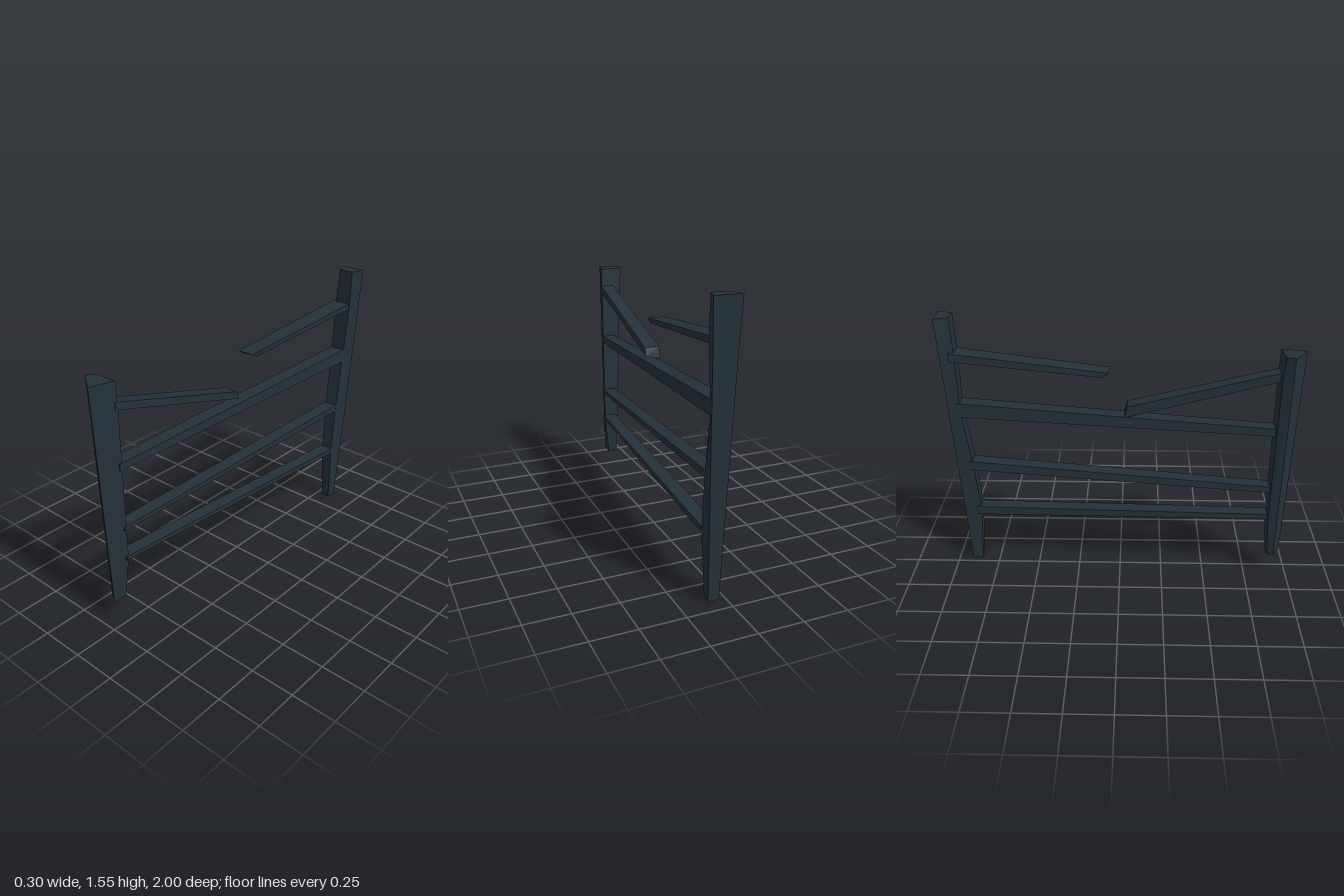
import * as THREE from 'three';

// Skin a solid through rings of four corners, with flat faces and end caps.
function loft(name, rings, material) {
  const pos = [];
  const quad = (a, b, c, d) => [a, b, c, a, c, d].forEach((p) => pos.push(...p));
  for (let r = 0; r < rings.length - 1; r++) {
    for (let i = 0; i < 4; i++) {
      const j = (i + 1) % 4;
      quad(rings[r][i], rings[r][j], rings[r + 1][j], rings[r + 1][i]);
    }
  }
  const s = rings[0], e = rings[rings.length - 1];
  quad(s[3], s[2], s[1], s[0]);
  quad(e[0], e[1], e[2], e[3]);
  const geo = new THREE.BufferGeometry();
  geo.setAttribute('position', new THREE.Float32BufferAttribute(pos, 3));
  geo.computeVertexNormals();
  const mesh = new THREE.Mesh(geo, material);
  mesh.name = name;
  return mesh;
}

// Post ring: height, then x,z corners front-left, front-right, back-right, back-left.
const ring = (y, ...c) => [0, 2, 4, 6].map((i) => [c[i], y, c[i + 1]]);

// Rail end: x range, bottom and top heights, z of bottom and top edges.
// The underside rises by tilt toward +x.
const end = (x0, x1, lo, hi, zLo, zHi = zLo, tilt = 0.015) => [
  [x1, lo + tilt, zLo], [x0, lo, zLo], [x0, hi, zHi], [x1, hi, zHi],
];

export function createModel() {
  const group = new THREE.Group();
  group.name = 'brokenFence';
  const wood = new THREE.MeshStandardMaterial({ color: 0x24313a, flatShading: true });
  wood.name = 'dark slate wood';

  // Posts, tapering to the foot
  group.add(loft('frontPost', [
    ring(0.14, -0.10, 0.915, -0.035, 0.955, -0.033, 0.875, -0.09, 0.88),
    ring(0.39, -0.11, 0.916, -0.035, 0.965, -0.005, 0.86, -0.098, 0.865),
    ring(1.27, -0.145, 0.919, -0.036, 0.995, 0, 0.86, -0.125, 0.865),
    ring(1.405, -0.152, 0.92, -0.036, 1.0, 0, 0.865, -0.137, 0.873),
  ], wood));
  group.add(loft('backPost', [
    ring(0, 0.038, -0.855, 0.088, -0.855, 0.095, -0.915, 0.035, -0.915),
    ring(0.35, 0.03, -0.836, 0.10, -0.836, 0.106, -0.934, 0.027, -0.934),
    ring(0.68, 0.022, -0.86, 0.10, -0.86, 0.117, -0.952, 0.02, -0.952),
    ring(1.0, 0.015, -0.903, 0.10, -0.903, 0.127, -0.97, 0.013, -0.97),
    ring(1.35, 0.02, -0.91, 0.12, -0.91, 0.138, -0.988, 0.005, -0.988),
    ring(1.555, 0.03, -0.922, 0.12, -0.918, 0.146, -0.998, -0.003, -1.0),
  ], wood));

  // Whole rails
  group.add(loft('lowerRail', [
    end(-0.08, 0, 0.378, 0.41, 0.875, 0.875, 0.008),
    end(0.02, 0.102, 0.328, 0.38, -0.86, -0.86, 0.02),
  ], wood));
  group.add(loft('middleRail', [
    end(-0.08, 0, 0.555, 0.593, 0.875),
    end(0.015, 0.10, 0.635, 0.69, -0.885),
  ], wood));
  group.add(loft('upperRail', [
    end(-0.08, 0, 0.917, 0.963, 0.875, 0.875, 0.006),
    end(0.012, 0.105, 0.975, 1.06, -0.93, -0.93, 0.006),
  ], wood));

  // Two halves of the snapped top rail
  group.add(loft('brokenRailFront', [
    end(-0.08, 0, 1.248, 1.298, 0.875, 0.875, 0.008),
    end(-0.05, 0.037, 1.01, 1.077, 0.025, 0.04, 0.02),
  ], wood));
  group.add(loft('brokenRailBack', [
    end(-0.037, 0.06, 1.243, 1.27, -0.10, -0.06, 0.006),
    end(0, 0.117, 1.313, 1.36, -0.94, -0.94, 0.012),
  ], wood));

  return group;
}
